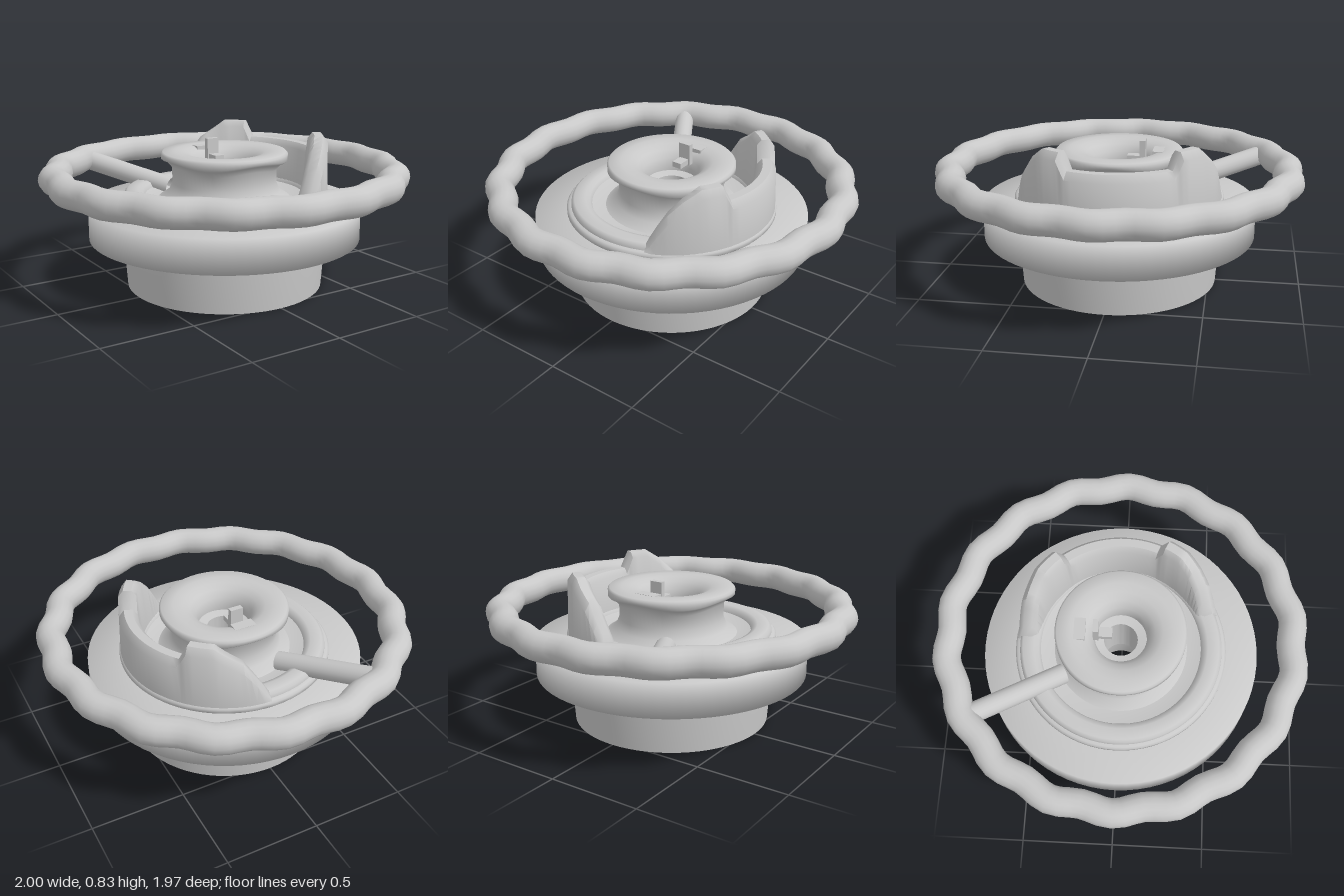
import * as THREE from 'three';
import { toCreasedNormals } from 'three/addons/utils/BufferGeometryUtils.js';

const metal = new THREE.MeshStandardMaterial({ color: 0xc8c8c8, side: THREE.DoubleSide });
metal.name = 'light grey';

function part(name, geometry) {
  const mesh = new THREE.Mesh(geometry, metal);
  mesh.name = name;
  return mesh;
}

// Profile of [radius, height] pairs turned about the y axis
function turned(profile, segments = 72) {
  return new THREE.LatheGeometry(profile.map(([r, y]) => new THREE.Vector2(r, y)), segments);
}

// Closed tube with 18 shallow waves around its circle
class WavyRing extends THREE.Curve {
  getPoint(t, target = new THREE.Vector3()) {
    const a = t * Math.PI * 2;
    const r = 0.912 + 0.013 * Math.cos(18 * a);
    return target.set(r * Math.cos(a), 0.62, r * Math.sin(a));
  }
}

// Curved guard swept around the collar; height follows [angle, height] stations
function guardGeometry() {
  const stations = [[68, 0.53], [62, 0.62], [56, 0.7], [48, 0.77], [38, 0.83], [26, 0.83], [21, 0.74],
    [-38, 0.74], [-43, 0.83], [-57, 0.83], [-63, 0.79], [-73, 0.73], [-80, 0.64], [-88, 0.53]];
  const positions = [], index = [];
  const n = 6;
  let rows = 0;
  const addRow = (deg, h) => {
    const a = THREE.MathUtils.degToRad(deg);
    const section = [[0.565, 0.49], [0.558, Math.max(h - 0.04, 0.5)], [0.53, h],
      [0.485, h], [0.46, Math.max(h - 0.03, 0.5)], [0.44, 0.49]];
    for (const [r, y] of section) positions.push(r * Math.cos(a), y, r * Math.sin(a));
    rows++;
  };
  stations.forEach(([deg, h], i) => {
    const next = stations[i + 1];
    if (!next) return addRow(deg, h);
    const steps = Math.ceil((deg - next[0]) / 4);
    for (let s = 0; s < steps; s++) {
      addRow(THREE.MathUtils.lerp(deg, next[0], s / steps), THREE.MathUtils.lerp(h, next[1], s / steps));
    }
  });
  for (let i = 0; i < rows - 1; i++) {
    for (let j = 0; j < n; j++) {
      const k = (j + 1) % n;
      const a = i * n + j, b = a + n, c = (i + 1) * n + k, d = i * n + k;
      index.push(a, b, d, c, d, b);
    }
  }
  // End caps
  const last = (rows - 1) * n;
  for (let j = 1; j < n - 1; j++) {
    index.push(0, j, j + 1, last, last + j + 1, last + j);
  }
  const g = new THREE.BufferGeometry();
  g.setAttribute('position', new THREE.Float32BufferAttribute(positions, 3));
  g.setIndex(index);
  return toCreasedNormals(g, 0.8);
}

// Central hub: bore, neck and dished cap with a gently scalloped underside
function hubGeometry() {
  const g = turned([[0.22, 0.06], [0.22, 0.3], [0.22, 0.48], [0.36, 0.485], [0.305, 0.52], [0.285, 0.57],
    [0.285, 0.655], [0.31, 0.685], [0.335, 0.695], [0.345, 0.705], [0.345, 0.73], [0.335, 0.74],
    [0.27, 0.742], [0.22, 0.735], [0.18, 0.715], [0.15, 0.68], [0.138, 0.64], [0.138, 0.61],
    [0.09, 0.6], [0.09, 0.3], [0.13, 0.28], [0.13, 0.08], [0.14, 0.06], [0.22, 0.06]]);
  const p = g.attributes.position;
  for (let i = 0; i < p.count; i++) {
    const y = p.getY(i), r = Math.hypot(p.getX(i), p.getZ(i));
    if (r > 0.28 && y > 0.65 && y < 0.71) {
      p.setY(i, y + 0.01 * Math.cos(4 * Math.atan2(p.getZ(i), p.getX(i))));
    }
  }
  return toCreasedNormals(g, 0.9);
}

export function createModel() {
  const model = new THREE.Group();
  model.name = 'handwheelValve';

  // Grip ring
  model.add(part('gripRing', new THREE.TubeGeometry(new WavyRing(), 108, 0.075, 16, true)));

  // Single sloping spoke
  const spokePath = new THREE.LineCurve3(
    new THREE.Vector3(-0.47, 0.615, -0.79), new THREE.Vector3(-0.17, 0.5, -0.3));
  model.add(part('spoke', new THREE.TubeGeometry(spokePath, 1, 0.055, 20)));

  // Hollow tapered skirt
  model.add(part('skirt', toCreasedNormals(turned([[0.525, 0], [0.54, 0], [0.56, 0.28],
    [0.56, 0.3], [0.535, 0.3], [0.525, 0]]), 0.8)));

  // Broad flange
  model.add(part('flange', turned([[0.55, 0.275], [0.745, 0.275], [0.745, 0.455], [0.45, 0.455]])));

  // Inner ceiling of the skirt with four blind holes
  const disc = new THREE.Shape().absarc(0, 0, 0.54, 0, Math.PI * 2);
  disc.holes.push(new THREE.Path().absarc(0, 0, 0.2, 0, Math.PI * 2));
  for (let i = 0; i < 4; i++) {
    const a = i * Math.PI / 2;
    const x = 0.42 * Math.cos(a), z = 0.42 * Math.sin(a);
    disc.holes.push(new THREE.Path().absarc(x, z, 0.07, 0, Math.PI * 2));
    const cup = part('blindHole', toCreasedNormals(turned([[0, 0.38], [0.07, 0.38], [0.07, 0.3]], 24), 0.8));
    cup.position.set(x, 0, z);
    model.add(cup);
  }
  const ceiling = part('skirtCeiling', new THREE.ShapeGeometry(disc, 36));
  ceiling.rotation.x = Math.PI / 2;
  ceiling.position.y = 0.3;
  model.add(ceiling);

  // Stepped collar with a recessed trough
  model.add(part('collar', toCreasedNormals(turned([[0.5, 0.45], [0.565, 0.46], [0.572, 0.468],
    [0.572, 0.488], [0.562, 0.498], [0.548, 0.502], [0.545, 0.522], [0.53, 0.535], [0.47, 0.535],
    [0.445, 0.525], [0.435, 0.5], [0.36, 0.482], [0.2, 0.482]]), 0.9)));

  // Two-horned guard on the left side
  model.add(part('guard', guardGeometry()));

  model.add(part('hub', hubGeometry()));

  // Key and indicator post beside the bore
  const boxes = [
    ['indicatorPost', 0.07, 0.12, 0.03, 0.73, -0.13],
    ['key', 0.055, 0.03, 0.1, 0.69, -0.095],
    ['keyFoot', 0.12, 0.03, 0.06, 0.725, -0.215],
  ];
  for (const [name, w, h, d, y, z] of boxes) {
    const box = part(name, new THREE.BoxGeometry(w, h, d));
    box.position.set(0, y, z);
    model.add(box);
  }
  return model;
}
